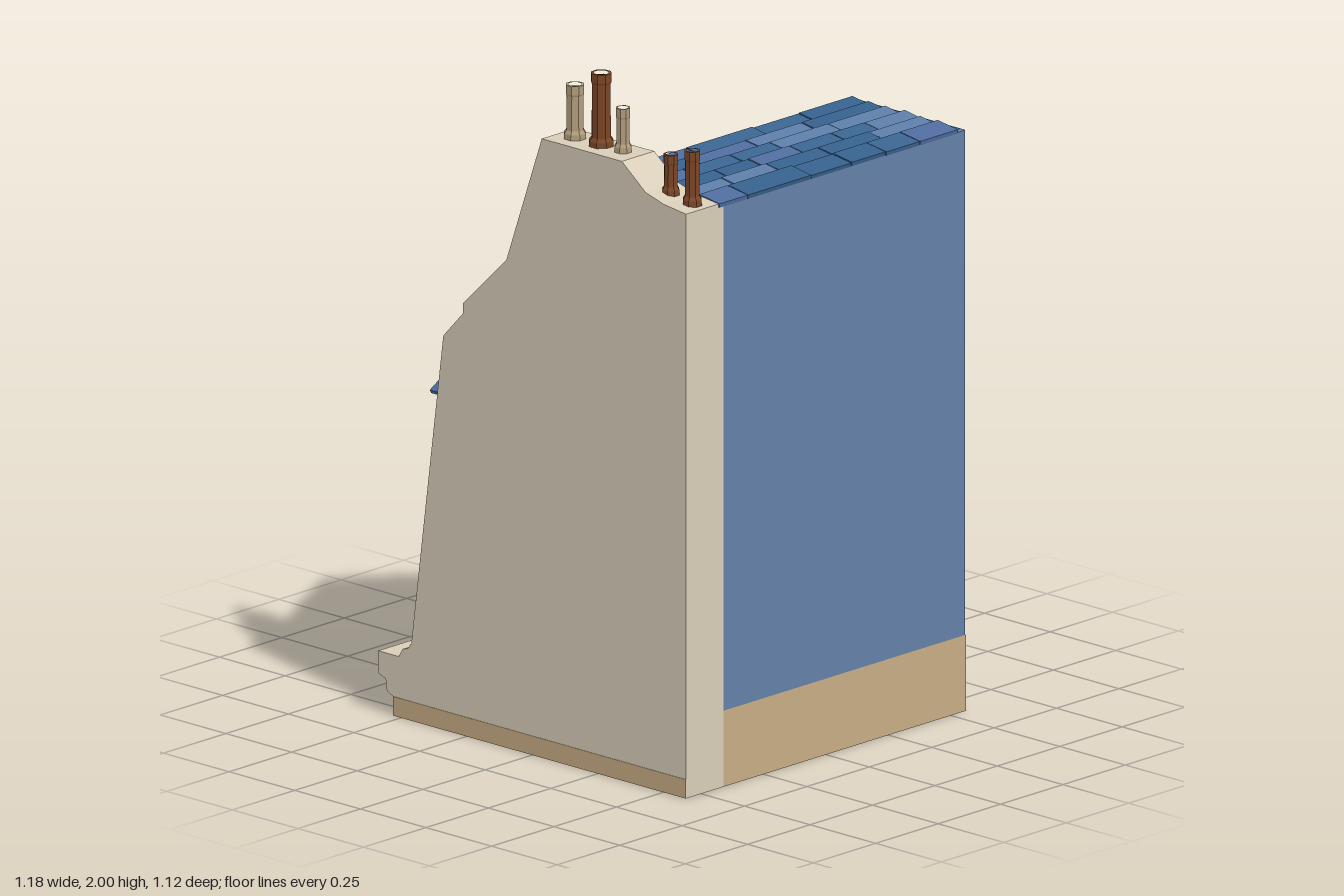
import * as THREE from 'three';
import { mergeGeometries } from 'three/addons/utils/BufferGeometryUtils.js';

const STONE = 0xd8cdb8, TAN = 0xc8ad84, NAVY = 0x2f5a88, WALL = 0x6480a8;
const BROWN = 0x7a4527, POT = 0xb09c7c, BLACK = 0x0c0c0c, SASH = 0xcfc8ba;
const ROOF_BLUES = [0x3a6490, 0x4f6da0, 0x5c7da9, 0x35608c];

const mats = {};
const mat = (color) => (mats[color] ??= new THREE.MeshStandardMaterial({ color, flatShading: true }));

let seed = 7;
const rand = () => (seed = (seed * 16807) % 2147483647) / 2147483647;

function add(parent, name, geometry, color) {
  const mesh = new THREE.Mesh(geometry, mat(color));
  mesh.name = name;
  parent.add(mesh);
  return mesh;
}

// Box given by its limits on each axis
function box(parent, name, color, [x0, x1], [y0, y1], [z0, z1]) {
  const g = new THREE.BoxGeometry(x1 - x0, y1 - y0, z1 - z0);
  g.translate((x0 + x1) / 2, (y0 + y1) / 2, (z0 + z1) / 2);
  return add(parent, name, g, color);
}

const shapeOf = (pts) => new THREE.Shape(pts.map(([x, y]) => new THREE.Vector2(x, y)));

// Outline in x,y extruded from z0 to z1
function slab(parent, name, color, pts, z0, z1) {
  const g = new THREE.ExtrudeGeometry(shapeOf(pts), { depth: z1 - z0, bevelEnabled: false });
  return add(parent, name, g.translate(0, 0, z0), color);
}

// Overlapping shingle rows climbing from a to b (x,y), laid along z between range(y)
function shingles(parent, name, a, b, rows, range, [minW, maxW], colors) {
  const group = new THREE.Group();
  group.name = name;
  const [dx, dy] = [b[0] - a[0], b[1] - a[1]];
  const len = Math.hypot(dx, dy), step = len / rows, angle = Math.atan2(dy, dx);
  const piles = new Map(colors.map((c) => [c, []]));
  for (let i = 0; i < rows; i++) {
    const t = (i + 0.53) / rows;
    const [z0, z1] = range(a[1] + dy * t);
    let z = z0 + (rand() - 0.5) * 0.015;
    const end = z1 + (rand() - 0.5) * 0.015;
    while (z < end - 0.01) {
      let w = minW + rand() * (maxW - minW);
      if (end - z - w < minW * 0.6) w = end - z;
      const g = new THREE.BoxGeometry(step * (1.12 + rand() * 0.12), 0.012, w - 0.003);
      g.rotateZ(angle - 0.13 - rand() * 0.03);
      const lift = 0.008 + rand() * 0.003;
      g.translate(a[0] + dx * t - (dy / len) * lift, a[1] + dy * t + (dx / len) * lift, z + w / 2);
      piles.get(colors[Math.floor(rand() * colors.length)]).push(g);
      z += w;
    }
  }
  for (const [color, list] of piles) if (list.length) add(group, 'shingles', mergeGeometries(list), color);
  parent.add(group);
  return group;
}

function buildHouse(root) {
  // Plinth, cornice and the blue body
  box(root, 'plinth', TAN, [-0.53, 0.585], [0, 0.22], [-0.56, 0.41]);
  const cornice = [[-0.44, 0.055], [-0.44, 0.22], [-0.465, 0.22], [-0.475, 0.205], [-0.495, 0.2], [-0.51, 0.175],
    [-0.588, 0.175], [-0.588, 0.11], [-0.56, 0.1], [-0.555, 0.065], [-0.53, 0.055]].reverse();
  slab(root, 'cornice', STONE, cornice, -0.557, 0.56);
  slab(root, 'corniceEnd', TAN, cornice, -0.561, -0.557);
  slab(root, 'body', NAVY, [[0.58, 0.22], [0.58, 1.68], [0.19, 1.68], [-0.335, 1.14], [-0.46, 0.22]].reverse(), -0.56, 0.43);
  box(root, 'sideWall', WALL, [0.57, 0.585], [0.22, 1.68], [-0.557, 0.41]);

  // Gable wall that carries the chimneys
  slab(root, 'gableWall', STONE, [[0.585, 0], [0.585, 1.69], [0.5, 1.7], [0.43, 1.72], [0.34, 1.79], [0.035, 1.79],
    [-0.1, 1.41], [-0.265, 1.25], [-0.265, 1.22], [-0.34, 1.14], [-0.465, 0.2], [-0.53, 0.055], [-0.53, 0]].reverse(), 0.43, 0.56);
  box(root, 'gableReturn', STONE, [0.55, 0.585], [0, 1.69], [0.41, 0.44]);
  box(root, 'plinthFront', TAN, [-0.531, 0.584], [0, 0.055], [0.41, 0.5615]);

  // Mansard roof: steep, middle and flat courses
  const span = () => [-0.525, 0.425];
  shingles(root, 'steepRoof', [-0.458, 0.235], [-0.335, 1.14], 13, span, [0.06, 0.16], ROOF_BLUES);
  shingles(root, 'middleRoof', [-0.335, 1.14], [0.19, 1.68], 11, span, [0.1, 0.24], ROOF_BLUES);
  shingles(root, 'flatRoof', [0.19, 1.68], [0.58, 1.68], 6, span, [0.13, 0.28], ROOF_BLUES);
}

// Open eight-sided chimney pot with a foot and a rim
function chimneyPot(root, x, y0, y1, r, color) {
  const h = y1 - y0;
  const profile = [[r * 1.25, -0.02], [r * 1.2, 0.015], [r * 0.95, 0.025], [r * 0.92, h - 0.03], [r, h - 0.025],
    [r, h], [r * 0.7, h]].map(([px, py]) => new THREE.Vector2(px, py));
  const pot = add(root, 'chimneyPot', new THREE.LatheGeometry(profile, 8, Math.PI / 8), color);
  pot.position.set(x, y0, 0.49);
  const flue = add(pot, 'flue', new THREE.CylinderGeometry(r * 0.72, r * 0.72, 0.01, 8), BLACK);
  flue.rotation.y = Math.PI / 8;
  flue.position.y = h - 0.015;
}

function buildDormer(root) {
  const d = new THREE.Group();
  d.name = 'dormer';
  d.position.z = -0.01;
  root.add(d);

  // Cheeks and gabled front with a window opening, drawn in z,y and turned to face -x
  const front = shapeOf([[-0.3, 0.3], [0.3, 0.3], [0.3, 0.93], [0, 1.16], [-0.3, 0.93]]);
  front.holes.push(new THREE.Path([[-0.22, 0.39], [-0.22, 0.82], [0.22, 0.82], [0.22, 0.39]]
    .map(([z, y]) => new THREE.Vector2(z, y))));
  const g = new THREE.ExtrudeGeometry(front, { depth: 0.165, bevelEnabled: false });
  add(d, 'dormerBody', g.rotateY(-Math.PI / 2).translate(-0.335, 0, 0), TAN);

  // Sill, apron, pilasters, lintel and eave trim
  box(d, 'sill', TAN, [-0.562, -0.43], [0.318, 0.355], [-0.38, 0.38]);
  slab(d, 'apron', TAN, [[-0.44, 0.25], [-0.44, 0.32], [-0.53, 0.32], [-0.53, 0.28], [-0.5, 0.25]].reverse(), -0.31, 0.31);
  box(d, 'lintel', TAN, [-0.512, -0.49], [0.82, 0.87], [-0.25, 0.25]);
  box(d, 'eaveTrim', TAN, [-0.535, -0.36], [0.868, 0.892], [-0.34, 0.34]);
  for (const s of [-1, 1]) {
    const z = (p, q) => (s > 0 ? [p, q] : [-q, -p]);
    box(d, 'pilaster', TAN, [-0.512, -0.485], [0.35, 0.87], z(0.25, 0.305));

    // Casement with glazing bars
    box(d, 'sashStile', SASH, [-0.485, -0.462], [0.39, 0.82], z(0.195, 0.22));
    box(d, 'meetingStile', SASH, [-0.49, -0.462], [0.39, 0.82], z(0.003, 0.035));
    for (let i = 0; i <= 4; i++) {
      const y = 0.4 + i * 0.1025;
      box(d, 'glazingBar', SASH, [-0.48, -0.462], [y - 0.01, y + 0.01], z(0.03, 0.2));
    }

    // Roof deck and raking board
    const angle = -s * Math.atan2(0.29, 0.38);
    const rake = (name, color, x0, x1, thick, drop, length) => {
      const m = add(d, name, new THREE.BoxGeometry(x1 - x0, thick, length), color);
      m.rotation.x = -angle;
      m.position.set((x0 + x1) / 2, 1.03 - drop, s * 0.19);
    };
    rake('roofDeck', NAVY, -0.545, -0.35, 0.014, 0, 0.48);
    rake('rakingBoard', TAN, -0.53, -0.48, 0.03, 0.026, 0.44);
  }
  box(d, 'glass', BLACK, [-0.468, -0.462], [0.37, 0.84], [-0.24, 0.24]);

  // Dormer shingles, each course ending where it meets the main roof
  const inner = (y) => (y < 1.12 ? -0.46 + (y - 0.22) * 0.136 : -0.335 + (y - 1.12) * 0.75) + 0.015;
  const lo = [-0.39, 0.885], hi = [0, 1.19];
  const back = shingles(d, 'dormerRoofRight', lo, hi, 6, (y) => [-inner(y), 0.555], [0.08, 0.15], [0x3e70a8, 0x3a689c]);
  back.rotation.y = -Math.PI / 2;
  const fore = shingles(d, 'dormerRoofLeft', lo, hi, 6, (y) => [-0.555, inner(y)], [0.08, 0.15], [0x4f6da0, 0x456a9c]);
  fore.rotation.y = Math.PI / 2;
}

export function createModel() {
  seed = 7;
  const root = new THREE.Group();
  root.name = 'atticHouse';
  buildHouse(root);
  buildDormer(root);
  chimneyPot(root, 0.095, 1.79, 1.945, 0.027, POT);
  chimneyPot(root, 0.195, 1.79, 2.0, 0.03, BROWN);
  chimneyPot(root, 0.278, 1.79, 1.917, 0.021, POT);
  chimneyPot(root, 0.46, 1.705, 1.822, 0.021, BROWN);
  chimneyPot(root, 0.542, 1.695, 1.85, 0.023, BROWN);
  return root;
}
